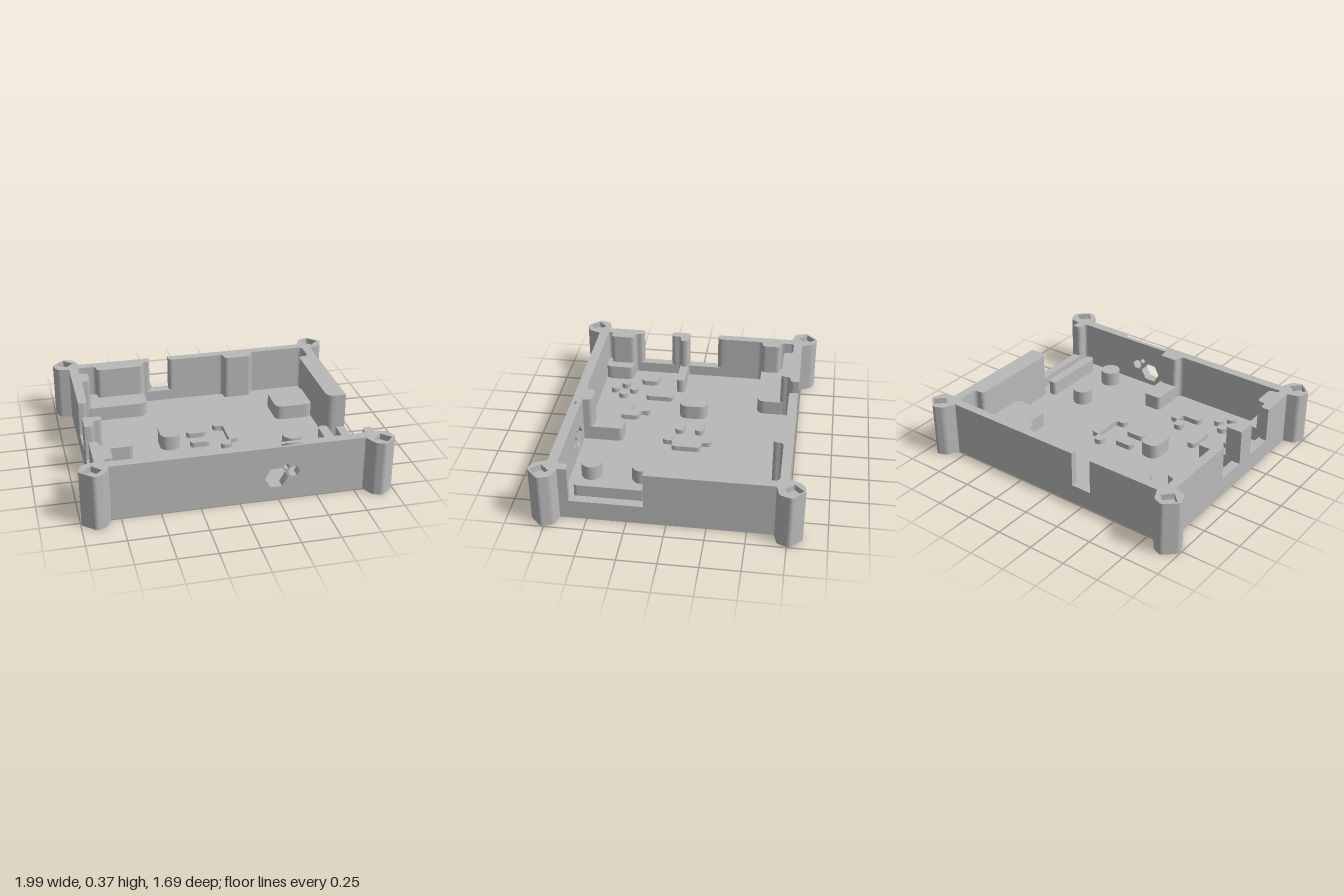
import * as THREE from 'three';

const grey = new THREE.MeshStandardMaterial({ color: 0xb8b8b8 });
grey.name = 'grey';

const H = 0.37, FLOOR = 0.055, RIM = 0.13, DECK = 0.155, LOW = 0.09;

// Trace [x, z, cornerRadius] points, rounding corners where a radius is given
function trace(path, pts) {
  pts.forEach(([x, z, r = 0], i) => {
    const p = new THREE.Vector2(x, -z);
    const toward = (q) => {
      const d = new THREE.Vector2(q[0], -q[1]).sub(p);
      const len = d.length();
      return p.clone().addScaledVector(d, Math.min(r, len * 0.495) / len);
    };
    const a = toward(pts[(i + pts.length - 1) % pts.length]);
    const b = toward(pts[(i + 1) % pts.length]);
    if (i === 0) path.moveTo(a.x, a.y); else path.lineTo(a.x, a.y);
    if (r > 0) path.quadraticCurveTo(p.x, p.y, b.x, b.y);
  });
  path.closePath();
  return path;
}

const rect = (x0, x1, z0, z1, r = 0) => [[x0, z0, r], [x1, z0, r], [x1, z1, r], [x0, z1, r]];

// Upright prism from a plan outline, between heights y0 and y1
function prism(name, pts, y0, y1, hole) {
  const shape = trace(new THREE.Shape(), pts);
  if (hole) shape.holes.push(trace(new THREE.Path(), hole));
  const geo = new THREE.ExtrudeGeometry(shape, { depth: y1 - y0, bevelEnabled: false, curveSegments: 6 });
  geo.rotateX(-Math.PI / 2).translate(0, y0, 0);
  const mesh = new THREE.Mesh(geo, grey);
  mesh.name = name;
  return mesh;
}

function disc(name, x, z, r, top) {
  const mesh = new THREE.Mesh(new THREE.CylinderGeometry(r, r, top - FLOOR, 32), grey);
  mesh.position.set(x, (top + FLOOR) / 2, z);
  mesh.name = name;
  return mesh;
}

export function createModel() {
  const model = new THREE.Group();
  model.name = 'tray';
  const add = (...parts) => model.add(...parts);

  // Floor slab and the low rim, open where the front panel sits
  add(prism('floor', rect(-0.89, 0.89, -0.745, 0.745), 0, FLOOR));
  add(prism('rim', [
    [0.1, 0.745], [-0.89, 0.745], [-0.89, -0.745], [0.89, -0.745], [0.89, 0.745], [0.5, 0.745],
    [0.5, 0.68], [0.83, 0.68], [0.83, -0.685], [-0.83, -0.685], [-0.83, 0.68], [0.1, 0.68],
  ], FLOOR, RIM));

  // Tall walls, separated by notches
  const walls = {
    backLeftWall: [
      [-0.89, -0.13], [-0.89, -0.725], [-0.87, -0.745], [-0.31, -0.745], [-0.31, -0.685, 0.03],
      [-0.37, -0.685, 0.03], [-0.37, -0.62, 0.03], [-0.7, -0.62, 0.03], [-0.7, -0.685, 0.03],
      [-0.83, -0.685, 0.02], [-0.83, -0.59, 0.03], [-0.77, -0.59, 0.03], [-0.77, -0.46, 0.03],
      [-0.83, -0.46, 0.03], [-0.83, -0.13, 0.055],
    ],
    backRightWall: [
      [-0.17, -0.745], [0.87, -0.745], [0.89, -0.725], [0.89, 0.14], [0.76, 0.14, 0.06],
      [0.76, -0.53, 0.03], [0.83, -0.53, 0.03], [0.83, -0.685, 0.03], [0.43, -0.685, 0.03],
      [0.43, -0.62, 0.03], [0.23, -0.62, 0.03], [0.23, -0.685, 0.03], [-0.17, -0.685, 0.03],
    ],
    sidePillar: [
      [-0.89, 0.08], [-0.77, 0.08, 0.03], [-0.77, 0.14, 0.03], [-0.83, 0.14, 0.02],
      [-0.83, 0.21, 0.05], [-0.89, 0.21],
    ],
    frontLeftWall: [
      [-0.89, 0.42], [-0.83, 0.42, 0.05], [-0.83, 0.48, 0.02], [-0.77, 0.48, 0.03],
      [-0.77, 0.65, 0.03], [-0.83, 0.65, 0.02], [-0.83, 0.68, 0.01], [-0.03, 0.68, 0.03],
      [-0.03, 0.615, 0.03], [0.1, 0.615, 0.03], [0.1, 0.745], [-0.87, 0.745], [-0.89, 0.725],
    ],
    frontRightWall: [
      [0.5, 0.68], [0.83, 0.68, 0.02], [0.83, 0.61, 0.04], [0.89, 0.61], [0.89, 0.725],
      [0.87, 0.745], [0.5, 0.745],
    ],
  };
  for (const [name, pts] of Object.entries(walls)) add(prism(name, pts, FLOOR, H));

  // Front panel with three six-sided holes, capped by a strip with a thin slot
  const slotBase = H - 0.04;
  const panel = new THREE.Shape();
  panel.moveTo(0.1, FLOOR).lineTo(0.5, FLOOR).lineTo(0.5, slotBase).lineTo(0.1, slotBase).closePath();
  for (const [cx, cy, r] of [[0.235, 0.155, 0.075], [0.348, 0.188, 0.038], [0.3, 0.228, 0.02]]) {
    const hole = new THREE.Path();
    for (let i = 0; i < 6; i++) {
      const a = (i * Math.PI) / 3;
      const x = cx + r * Math.cos(a), y = cy + r * Math.sin(a);
      if (i) hole.lineTo(x, y); else hole.moveTo(x, y);
    }
    hole.closePath();
    panel.holes.push(hole);
  }
  const panelMesh = new THREE.Mesh(
    new THREE.ExtrudeGeometry(panel, { depth: 0.065, bevelEnabled: false }), grey);
  panelMesh.position.z = 0.68;
  panelMesh.name = 'frontPanel';
  add(panelMesh);
  add(prism('slottedStrip', rect(0.1, 0.5, 0.68, 0.745), slotBase, H,
    rect(0.13, 0.465, 0.708, 0.726, 0.006)));

  // Corner posts with diamond sockets in the top
  const post = [[0.83, 0.68], [0.81, 0.745], [0.845, 0.825, 0.02], [0.91, 0.852, 0.02],
    [1, 0.77, 0.02], [0.97, 0.69, 0.02], [0.89, 0.67]];
  const socket = [[0.855, 0.775], [0.915, 0.715], [0.975, 0.775], [0.915, 0.835]];
  for (const sx of [-1, 1]) for (const sz of [-1, 1]) {
    const flip = (pts) => pts.map(([x, z, r]) => [x * sx, z * sz, r]);
    add(prism('cornerPost', flip(post), 0, H - 0.04));
    add(prism('cornerPostTop', flip(post), H - 0.04, H, flip(socket)));
  }

  // Raised blocks on the floor
  const blocks = [
    [-0.83, -0.37, -0.685, -0.46, 0.06], [0.5, 0.77, -0.455, -0.19, 0.06],
    [-0.83, -0.7, 0.48, 0.68, 0.04], [-0.03, 0.1, 0.415, 0.68, 0.03],
    [0.695, 0.76, 0.145, 0.61, 0.03], [-0.37, -0.235, -0.12, 0.075, 0.065],
    [-0.86, -0.57, 0.08, 0.14, 0.03],
  ];
  for (const b of blocks) add(prism('raisedBlock', rect(...b), FLOOR, DECK));
  for (const z of [0.212, 0.545]) add(disc('roundPeg', 0.495, z, 0.067, DECK));

  // Low floor details
  const pads = [
    [-0.168, -0.035, -0.122, -0.06, 0.03], [-0.168, -0.035, 0.012, 0.075, 0.03],
    [-0.5, -0.435, 0.145, 0.345, 0.033], [-0.765, -0.635, 0.28, 0.41, 0.04],
  ];
  for (const p of pads) add(prism('lowPad', rect(...p), FLOOR, LOW));
  for (const [dx, dz] of [[1, 0], [-1, 0], [0, 1], [0, -1]])
    add(disc('smallDot', -0.533 + dx * 0.067, 0.512 + dz * 0.067, 0.033, LOW));

  // Bracket and hook shaped ridges with round ends
  add(prism('bracketRidge', [
    [0.03, -0.188, 0.03], [0.097, -0.188, 0.03], [0.097, -0.122, 0.015], [0.162, -0.122, 0.03],
    [0.162, 0.075, 0.03], [0.097, 0.075, 0.015], [0.097, 0.142, 0.03], [0.03, 0.142, 0.03],
    [0.03, 0.08, 0.03], [0.097, 0.08, 0.02], [0.097, -0.125, 0.02], [0.03, -0.125, 0.03],
  ], FLOOR, LOW));
  add(prism('hookRidge', [
    [-0.3, 0.28, 0.03], [-0.235, 0.28, 0.03], [-0.235, 0.35, 0.02], [-0.17, 0.35, 0.03],
    [-0.17, 0.477, 0.015], [-0.365, 0.477, 0.02], [-0.365, 0.412, 0.03], [-0.235, 0.412, 0.02],
    [-0.235, 0.345, 0.02], [-0.3, 0.345, 0.03],
  ], FLOOR, LOW));

  return model;
}
